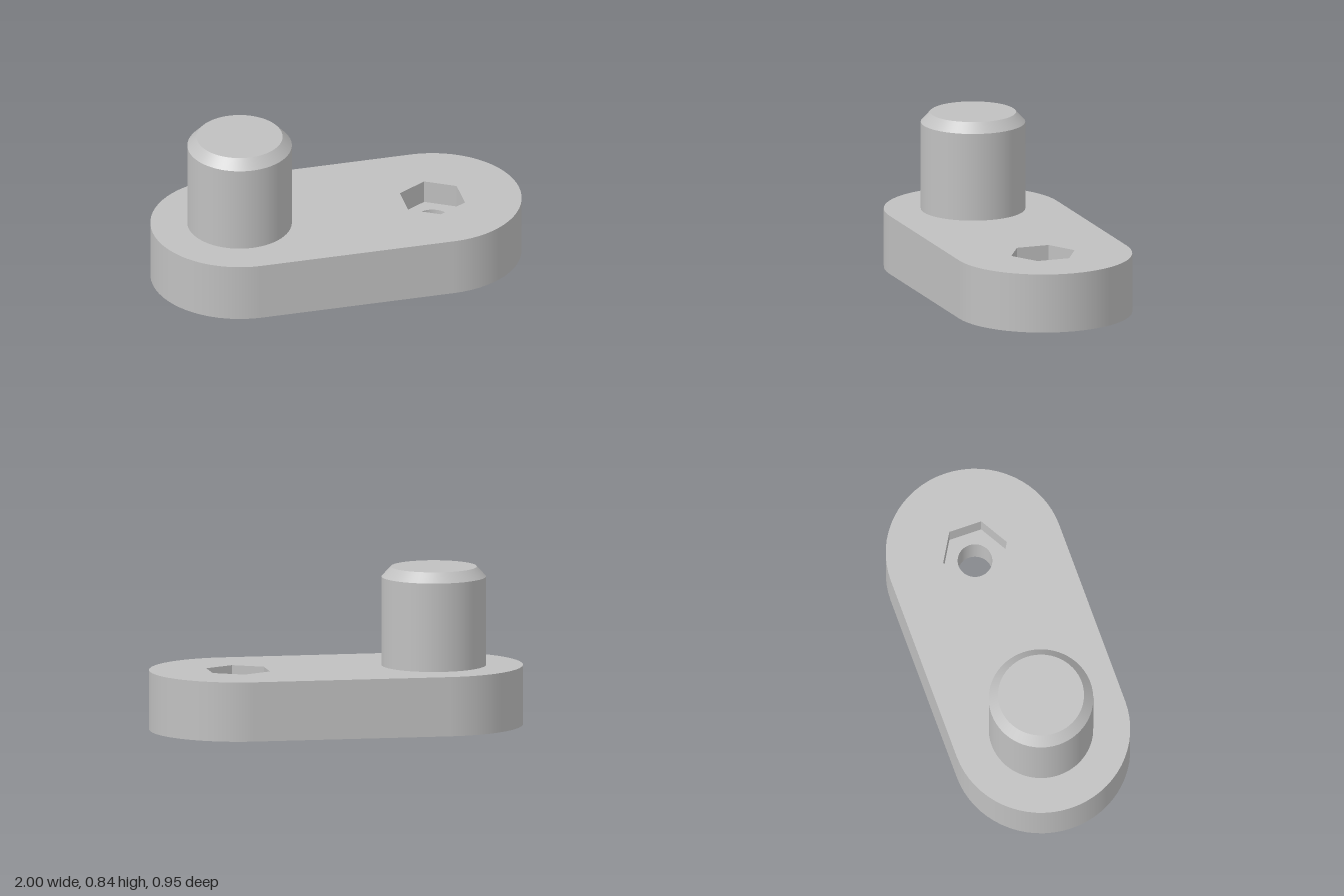
import * as THREE from 'three';

const C = 0.527;          // distance of each end's centre from the middle
const R = 0.473;          // plate end radius
const H = 0.317;          // plate thickness
const FLOOR = H - 0.125;  // floor of the hexagonal pocket
const PIN = 0.277, BORE = 0.092, HEX = 0.179;
const SEG = 64;

// Regular polygon path around (x, 0), first corner on the z axis
function ring(Type, x, r, n) {
  const pts = [];
  for (let i = 0; i < n; i++) {
    const a = (i / n) * Math.PI * 2;
    pts.push(new THREE.Vector2(x + r * Math.sin(a), r * Math.cos(a)));
  }
  return new Type(pts);
}

// Rounded-end outline with the given holes
function slab(holes) {
  const s = new THREE.Shape();
  s.absarc(C, 0, R, -Math.PI / 2, Math.PI / 2, false);
  s.absarc(-C, 0, R, Math.PI / 2, Math.PI * 1.5, false);
  s.holes = holes;
  return s;
}

export function createModel() {
  const model = new THREE.Group();
  const grey = new THREE.MeshStandardMaterial({ color: 0xc0c0c0, side: THREE.DoubleSide });
  grey.name = 'grey';

  const add = (parent, name, geo, x = 0, y = 0, z = 0) => {
    const mesh = new THREE.Mesh(geo, grey);
    mesh.name = name;
    mesh.position.set(x, y, z);
    parent.add(mesh);
    return mesh;
  };
  const flat = (shape, up) =>
    new THREE.ShapeGeometry(shape, 16).rotateX(up ? -Math.PI / 2 : Math.PI / 2);

  // Plate: top, underside and outer wall
  const plate = new THREE.Group();
  plate.name = 'plate';
  model.add(plate);
  add(plate, 'plateTop', flat(slab([ring(THREE.Path, C, HEX, 6), ring(THREE.Path, -C, PIN, SEG)]), true), 0, H);
  add(plate, 'plateUnderside', flat(slab([ring(THREE.Path, C, BORE, SEG)]), false));
  for (const side of [1, -1]) {
    const end = new THREE.CylinderGeometry(R, R, H, SEG / 2, 1, true, side > 0 ? 0 : Math.PI, Math.PI);
    add(plate, 'plateEnd', end, side * C, H / 2);
    const wall = new THREE.PlaneGeometry(2 * C, H);
    if (side < 0) wall.rotateY(Math.PI);
    add(plate, 'plateSide', wall, 0, H / 2, side * R);
  }

  // Hexagonal pocket with a round bore through its floor
  const socket = new THREE.Group();
  socket.name = 'hexPocket';
  model.add(socket);
  const hexWall = new THREE.CylinderGeometry(HEX, HEX, H - FLOOR, 6, 1, true).toNonIndexed();
  hexWall.computeVertexNormals();
  add(socket, 'pocketWall', hexWall, C, (H + FLOOR) / 2);
  const floor = ring(THREE.Shape, 0, HEX, 6);
  floor.holes.push(ring(THREE.Path, 0, BORE, SEG));
  add(socket, 'pocketFloor', flat(floor, true), C, FLOOR);
  add(socket, 'bore', new THREE.CylinderGeometry(BORE, BORE, FLOOR, SEG, 1, true), C, FLOOR / 2);

  // Pin with a chamfered top
  const pin = new THREE.Group();
  pin.name = 'pin';
  model.add(pin);
  const shoulder = 0.79, top = 0.843, topR = 0.228;
  add(pin, 'pinShaft', new THREE.CylinderGeometry(PIN, PIN, shoulder - H, SEG, 1, true), -C, (shoulder + H) / 2);
  add(pin, 'pinChamfer', new THREE.CylinderGeometry(topR, PIN, top - shoulder, SEG, 1, true), -C, (shoulder + top) / 2);
  add(pin, 'pinTop', new THREE.CircleGeometry(topR, SEG).rotateX(-Math.PI / 2), -C, top);

  return model;
}
